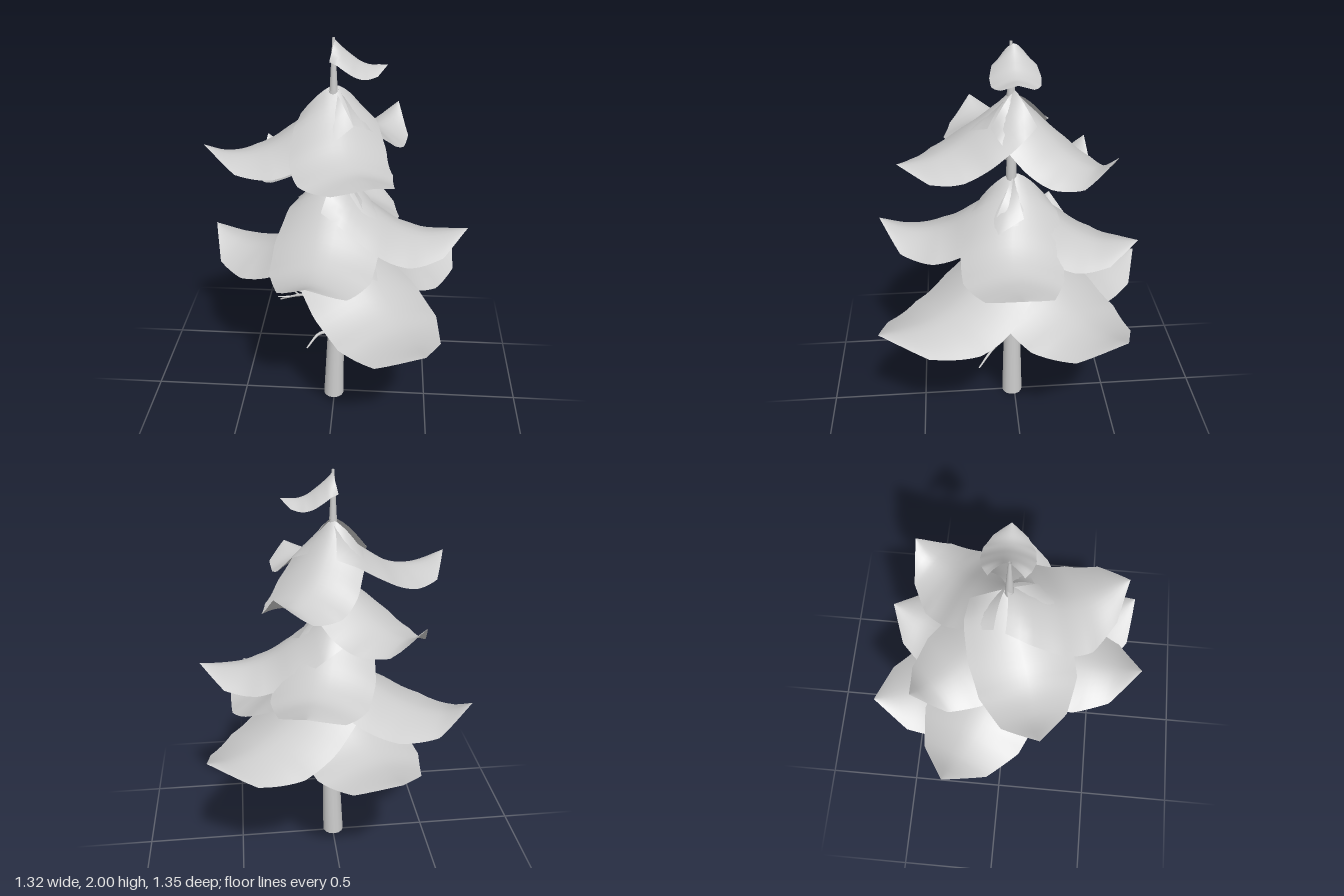
import * as THREE from 'three';

const grey = new THREE.MeshStandardMaterial({ color: 0xcccccc, side: THREE.DoubleSide });
grey.name = 'plain grey';

// Piecewise linear lookup in a list of [t, value] pairs
function lookup(table, t) {
  for (let i = 1; i < table.length; i++) {
    const [t0, v0] = table[i - 1], [t1, v1] = table[i];
    if (t <= t1) return v0 + (v1 - v0) * (t - t0) / (t1 - t0);
  }
  return table[table.length - 1][1];
}

// Bough outline (half width / length) and how far its rim hangs below the spine
const OUTLINE = [[0, 0.26], [0.13, 0.35], [0.35, 0.4], [0.58, 0.38], [0.82, 0.25], [1, 0]];
const RIM = [[0, 0.4], [0.13, 0.28], [0.4, 0.24], [0.58, 0.2], [0.82, 0.16], [1, 0]];

// A draped sheet running from the trunk to its tip at (x, z); skew bulges it to one side
function bough({ x, z, tip, apex, low, wide = 1, skew = 0, arch = 1 }) {
  const length = Math.hypot(x, z), drop = apex - low;
  const spine = new THREE.CatmullRomCurve3([
    [0, 0], [0.16, 0.28], [0.33, 0.52], [0.5, 0.72], [0.66, 0.81], [0.82, 0.8], [1, (apex - tip) / drop],
  ].map(([t, s]) => new THREE.Vector3(t, s, 0)));
  const rows = 24, cols = 12, positions = [], index = [];
  for (let i = 0; i <= rows; i++) {
    const p = spine.getPoint(i / rows), t = Math.min(p.x, 1);
    const half = lookup(OUTLINE, t) * length * wide, rim = lookup(RIM, t) * arch;
    const shift = skew * length * Math.sin(Math.PI * t) ** 2;
    for (let j = 0; j <= cols; j++) {
      const u = (j / cols) * 2 - 1, bend = Math.pow(Math.abs(u), 1.6);
      positions.push(
        t * length - 0.08 * length * bend * (1 - t) ** 2,
        apex - drop * (p.y + rim * bend),
        u * half + shift,
      );
      if (i < rows && j < cols) {
        const a = i * (cols + 1) + j, b = a + cols + 1;
        index.push(a, a + 1, b, a + 1, b + 1, b);
      }
    }
  }
  const geometry = new THREE.BufferGeometry();
  geometry.setAttribute('position', new THREE.Float32BufferAttribute(positions, 3));
  geometry.setIndex(index);
  geometry.computeVertexNormals();
  const mesh = new THREE.Mesh(geometry, grey);
  mesh.rotation.y = -Math.atan2(z, x);
  return mesh;
}

// A round, tapering stick along a few points
function twig(points, radius) {
  const curve = new THREE.CatmullRomCurve3(points.map(p => new THREE.Vector3(...p)));
  const segments = 10, sides = 7;
  const geometry = new THREE.TubeGeometry(curve, segments, radius, sides);
  const pos = geometry.attributes.position, v = new THREE.Vector3();
  for (let i = 0; i < pos.count; i++) {
    const t = Math.floor(i / (sides + 1)) / segments;
    const centre = curve.getPointAt(t);
    v.fromBufferAttribute(pos, i).sub(centre).multiplyScalar(1 - 0.65 * t).add(centre);
    pos.setXYZ(i, v.x, v.y, v.z);
  }
  return new THREE.Mesh(geometry, grey);
}

const BOUGHS = {
  crownBough: [{ x: 0.24, z: 0, tip: 1.88, apex: 1.99, low: 1.85, wide: 1.2, arch: 1.5 }],
  upperBough: [
    { x: 0.2, z: 0.54, tip: 1.52, apex: 1.78, low: 1.44, skew: 0.08 },
    { x: 0.3, z: -0.44, tip: 1.56, apex: 1.77, low: 1.42, skew: -0.02 },
    { x: -0.58, z: 0.19, tip: 1.55, apex: 1.755, low: 1.44, wide: 0.95, skew: -0.03 },
  ],
  middleBough: [
    { x: -0.38, z: -0.4, tip: 1.38, apex: 1.53, low: 1.24 },
    { x: 0.66, z: 0.01, tip: 1.07, apex: 1.36, low: 0.97, wide: 0.94, skew: 0.04 },
    { x: -0.08, z: 0.67, tip: 1.1, apex: 1.35, low: 0.97, wide: 0.94 },
    { x: 0.18, z: -0.59, tip: 1.06, apex: 1.35, low: 0.97 },
  ],
  lowerBough: [
    { x: -0.66, z: -0.26, tip: 0.91, apex: 1.1, low: 0.78 },
    { x: 0.45, z: 0.67, tip: 0.77, apex: 1.05, low: 0.66, wide: 0.92, skew: -0.05 },
    { x: 0.63, z: -0.47, tip: 0.79, apex: 1.05, low: 0.67, wide: 0.95 },
    { x: -0.24, z: -0.68, tip: 0.75, apex: 1.03, low: 0.65 },
  ],
};

export function createModel() {
  const model = new THREE.Group();
  model.name = 'conifer';
  const add = (mesh, name) => { mesh.name = name; model.add(mesh); };

  // Hollow trunk in three sleeved lengths: bottom y, top y, radii, x at bottom and top
  [
    [0, 0.66, 0.055, 0.038, -0.004, 0.014],
    [0.62, 1.76, 0.034, 0.02, 0.012, -0.008],
    [1.7, 2, 0.022, 0.006, -0.004, -0.004],
  ].forEach(([y0, y1, r0, r1, x0, x1], i) => {
    const geometry = new THREE.CylinderGeometry(r1, r0, y1 - y0, 14, 1, true);
    geometry.translate(0, (y1 - y0) / 2, 0);
    const pos = geometry.attributes.position;
    for (let k = 0; k < pos.count; k++) {
      pos.setX(k, pos.getX(k) + x0 + (x1 - x0) * pos.getY(k) / (y1 - y0));
    }
    geometry.translate(0, y0, 0.012);
    add(new THREE.Mesh(geometry, grey), ['lowerTrunk', 'middleTrunk', 'topTrunk'][i]);
  });

  // Draped boughs
  for (const [name, list] of Object.entries(BOUGHS)) {
    for (const spec of list) add(bough(spec), name);
  }

  // Bare twigs below the boughs
  add(twig([[0.03, 0.44, 0.02], [0.08, 0.41, 0.07], [0.13, 0.4, 0.12], [0.2, 0.33, 0.2]], 0.012), 'lowTwig');
  add(twig([[0, 0.5, 0.03], [-0.03, 0.46, 0.07], [-0.08, 0.46, 0.11], [-0.13, 0.43, 0.19]], 0.012), 'midTwig');
  add(twig([[0, 0.65, 0], [-0.08, 0.62, -0.03], [-0.18, 0.6, -0.05], [-0.25, 0.57, -0.07], [-0.3, 0.54, -0.09]], 0.012), 'leftTwig');
  add(twig([[0.02, 0.64, 0], [0.08, 0.61, -0.05], [0.14, 0.55, -0.09], [0.19, 0.56, -0.12], [0.24, 0.54, -0.15]], 0.012), 'rightTwig');

  // Forks near the twig ends
  [
    [[-0.15, 0.61, -0.045], [-0.2, 0.64, -0.03]],
    [[-0.19, 0.595, -0.05], [-0.24, 0.59, -0.11]],
    [[-0.25, 0.57, -0.07], [-0.31, 0.575, -0.06]],
    [[0.07, 0.615, -0.04], [0.13, 0.65, -0.06]],
    [[0.1, 0.59, -0.065], [0.13, 0.6, -0.14]],
    [[0.18, 0.56, -0.11], [0.23, 0.58, -0.13]],
  ].forEach(points => add(twig(points, 0.006), 'twigFork'));

  return model;
}
